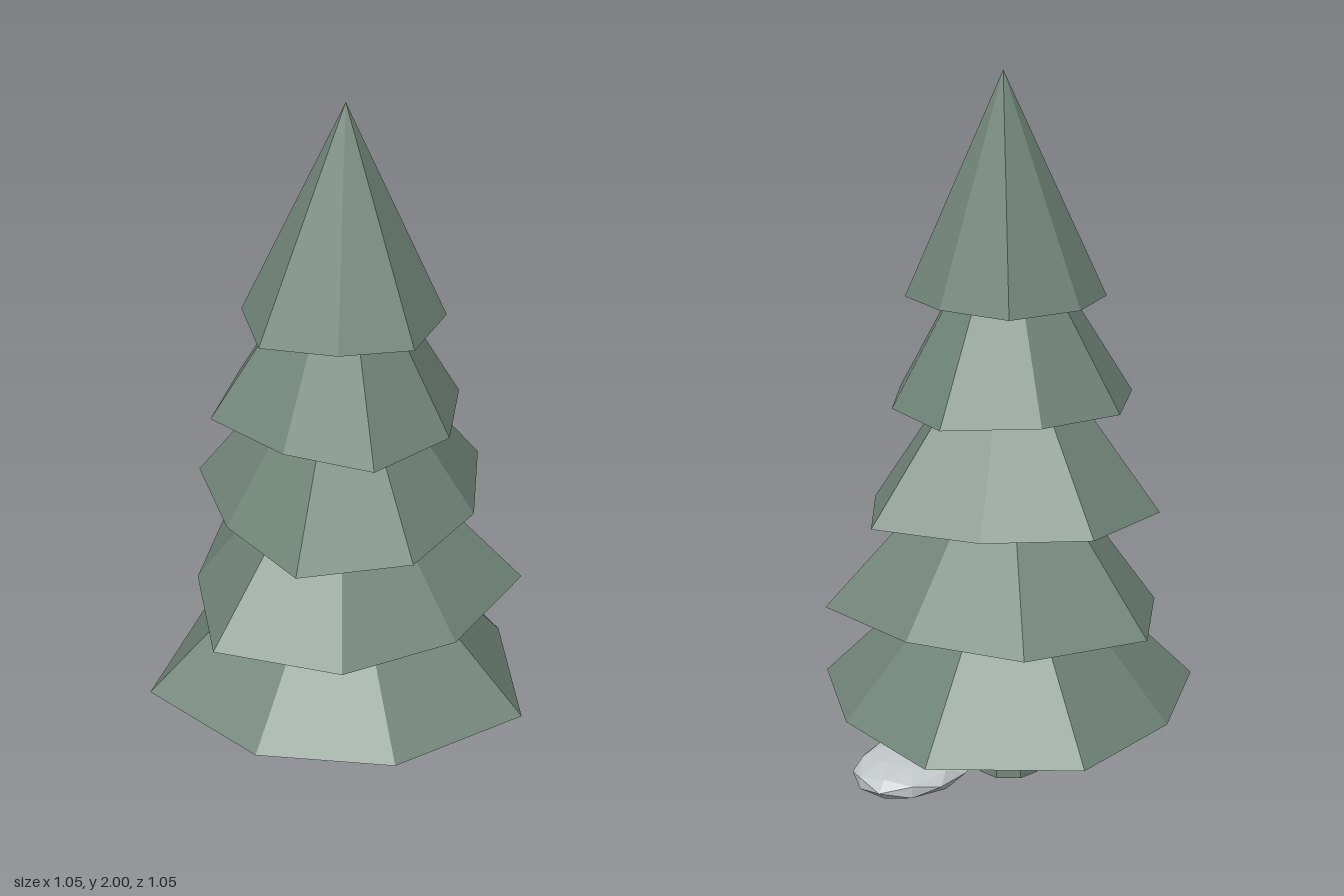
import * as THREE from 'three';

const foliage = new THREE.MeshStandardMaterial({ color: 0x72867a });
foliage.name = 'grey green';
foliage.flatShading = true;
const stone = new THREE.MeshStandardMaterial({ color: 0xc2c7c9 });
stone.name = 'pale stone grey';
stone.flatShading = true;

const CX = -0.05, CZ = 0.02;

// Closed cone with eight corners of uneven radius; turn is the angle of the first corner from the back
function tierGeometry({ y, height, turn, radii, apex = [CX, CZ], centre = [CX, CZ] }) {
  const ring = radii.map((r, i) => {
    const a = THREE.MathUtils.degToRad(turn + i * 360 / radii.length);
    return [centre[0] + r * Math.sin(a), y, centre[1] - r * Math.cos(a)];
  });
  const tip = [apex[0], y + height, apex[1]];
  const base = [centre[0], y, centre[1]];
  const pos = [];
  ring.forEach((p, i) => {
    const q = ring[(i + 1) % ring.length];
    pos.push(...q, ...p, ...tip); // sloping side
    pos.push(...p, ...q, ...base); // underside
  });
  const g = new THREE.BufferGeometry();
  g.setAttribute('position', new THREE.Float32BufferAttribute(pos, 3));
  g.computeVertexNormals();
  return g;
}

// Branch tiers from the bottom up
const tiers = [
  { y: 0.225, height: 0.57, turn: 0, radii: [0.55, 0.48, 0.575, 0.51, 0.505, 0.577, 0.48, 0.55] },
  { y: 0.515, height: 0.57, turn: 16.5, radii: [0.425, 0.51, 0.44, 0.455, 0.5, 0.416, 0.487, 0.477] },
  { y: 0.805, height: 0.58, turn: 33, radii: [0.44, 0.378, 0.4, 0.43, 0.36, 0.425, 0.41, 0.374] },
  { y: 1.1, height: 0.58, turn: 4, centre: [-0.04, 0.02], apex: [-0.04, 0.025],
    radii: [0.37, 0.32, 0.33, 0.354, 0.305, 0.373, 0.348, 0.322] },
  { y: 1.39, height: 0.61, turn: 20, centre: [-0.04, 0.025], apex: [-0.03, 0.03],
    radii: [0.254, 0.273, 0.277, 0.238, 0.295, 0.275, 0.272, 0.311] },
];

export function createModel() {
  const model = new THREE.Group();
  model.name = 'pineTree';
  const add = (name, geometry, material, x = 0, y = 0, z = 0) => {
    const mesh = new THREE.Mesh(geometry, material);
    mesh.name = name;
    mesh.position.set(x, y, z);
    model.add(mesh);
    return mesh;
  };

  tiers.forEach((t, i) => add(`branchTier${i + 1}`, tierGeometry(t), foliage));

  // Trunk, slightly narrower at the top
  add('trunk', new THREE.CylinderGeometry(0.078, 0.088, 0.4, 8), foliage, -0.053, 0.215, 0.025);

  // Flat faceted rock beside the trunk
  const rock = new THREE.IcosahedronGeometry(1, 1);
  rock.scale(0.16, 0.053, 0.232);
  rock.computeVertexNormals();
  add('rock', rock, stone, 0.165, 0.053, -0.14);

  return model;
}
